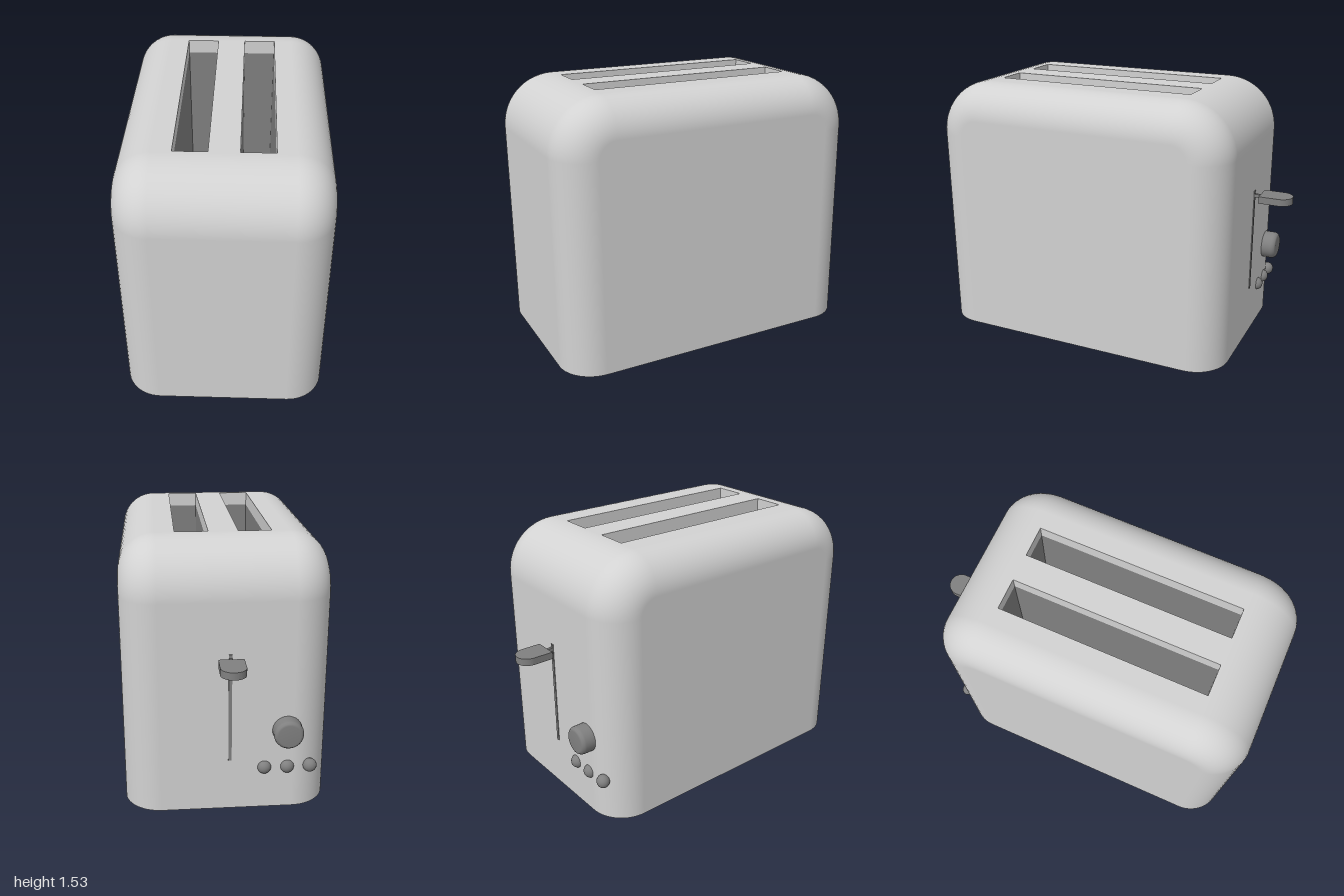
import * as THREE from 'three';

const HALF_W = 0.557, BEVEL = 0.2, ARC = 0.3;
const BACK = -0.78, FRONT = 1, BOTTOM = 0.055, TOP = 1.535;
const SLOT_X = [-0.1675, 0.1675], SLOT_W = 0.177, SLOT_BACK = -0.478, SLOT_FRONT = 0.69;
const LIP = 0.08, LINING = 0.9;

// Side outline, pulled in by d: [z, y, normalZ, normalY], front foot over the top to back foot
function outline(d, steps) {
  const r = ARC - d, pts = [[FRONT - d, BOTTOM, 1, 0]];
  for (const [zc, from] of [[FRONT - ARC, 0], [BACK + ARC, Math.PI / 2]]) {
    for (let k = 0; k <= steps; k++) {
      const b = from + (k / steps) * Math.PI / 2, c = Math.cos(b), s = Math.sin(b);
      pts.push([zc + r * c, TOP - ARC + r * s, c, s]);
    }
  }
  pts.push([BACK + d, BOTTOM, -1, 0]);
  return pts;
}

// Shell: side outlines lofted across the width, rounded towards both sides; top centre left open
function shellGeometries() {
  const steps = 14, pos = [], nor = [], idx = [], foot = [], heel = [];
  const sections = [];
  for (const side of [-1, 1]) {
    for (let k = 0; k <= steps; k++) {
      const t = side < 0 ? 1 - k / steps : k / steps;
      sections.push([side, t * Math.PI / 2]);
    }
  }
  let n = 0;
  for (const [side, a] of sections) {
    const x = side * (HALF_W - BEVEL + BEVEL * Math.sin(a));
    const pts = outline(BEVEL * (1 - Math.cos(a)), steps);
    n = pts.length;
    for (const [z, y, nz, ny] of pts) {
      pos.push(x, y, z);
      nor.push(side * Math.sin(a), ny * Math.cos(a), nz * Math.cos(a));
    }
    foot.push(new THREE.Vector2(x, pts[0][0]));
    heel.unshift(new THREE.Vector2(x, pts[n - 1][0]));
  }
  const last = sections.length - 1;
  for (let i = 0; i < last; i++) {
    for (let j = 0; j < n - 1; j++) {
      if (i === steps && j === steps + 1) continue; // opening for the slotted deck
      const p = i * n + j, q = p + n;
      idx.push(p, q, q + 1, p, q + 1, p + 1);
    }
  }
  // flat side panels
  for (let j = 1; j < n - 1; j++) {
    idx.push(0, j, j + 1, last * n, last * n + j + 1, last * n + j);
  }
  const shell = new THREE.BufferGeometry();
  shell.setAttribute('position', new THREE.Float32BufferAttribute(pos, 3));
  shell.setAttribute('normal', new THREE.Float32BufferAttribute(nor, 3));
  shell.setIndex(idx);
  const base = new THREE.ShapeGeometry(new THREE.Shape([...foot, ...heel]));
  base.rotateX(Math.PI / 2).translate(0, BOTTOM, 0);
  return [shell, base];
}

function rectPoints(x0, x1, z0, z1) {
  return [[x0, -z1], [x1, -z1], [x1, -z0], [x0, -z0]].map(p => new THREE.Vector2(...p));
}

// Horizontal block with both bread slots cut through
function slottedBlock(halfW, z0, z1, bottom, height) {
  const shape = new THREE.Shape(rectPoints(-halfW, halfW, z0, z1));
  for (const x of SLOT_X) {
    shape.holes.push(new THREE.Path(rectPoints(x - SLOT_W / 2, x + SLOT_W / 2, SLOT_BACK, SLOT_FRONT)));
  }
  return new THREE.ExtrudeGeometry(shape, { depth: height, bevelEnabled: false })
    .rotateX(-Math.PI / 2).translate(0, bottom, 0);
}

export function createModel() {
  const model = new THREE.Group();
  model.name = 'toaster';
  const mat = (name, color) => {
    const m = new THREE.MeshStandardMaterial({ color });
    m.name = name;
    return m;
  };
  const steel = mat('lightGrey', 0xd2d2d2);
  const grey = mat('darkGrey', 0x808080);
  const rubber = mat('blackRubber', 0x1c1c1c);
  const add = (name, geometry, material, x = 0, y = 0, z = 0) => {
    const mesh = new THREE.Mesh(geometry, material);
    mesh.name = name;
    mesh.position.set(x, y, z);
    model.add(mesh);
    return mesh;
  };

  // Body
  const [shell, base] = shellGeometries();
  add('bodyShell', shell, steel);
  add('basePlate', base, steel);
  add('slottedDeck', slottedBlock(HALF_W - BEVEL, BACK + ARC, FRONT - ARC, TOP - LIP, LIP), steel);

  // Bread slot lining and floor
  const liningBottom = TOP - LIP - LINING;
  add('slotLining', slottedBlock(0.3, SLOT_BACK - 0.02, SLOT_FRONT + 0.02, liningBottom, LINING), grey);
  add('slotFloor', new THREE.BoxGeometry(0.6, 0.02, 1.2), grey, 0, liningBottom - 0.01, (SLOT_BACK + SLOT_FRONT) / 2);

  // Lever on the back: track, stem and round-ended paddle
  const leverX = -0.013;
  add('leverTrack', new THREE.BoxGeometry(0.018, 0.61, 0.008), grey, leverX, 0.655, BACK);
  add('leverStem', new THREE.BoxGeometry(0.018, 0.018, 0.08), grey, leverX, 0.932, BACK - 0.02);
  const r = 0.067;
  const paddle = new THREE.Shape();
  paddle.moveTo(-r, 0.822);
  paddle.lineTo(r, 0.822);
  paddle.lineTo(r, 1 - r);
  paddle.absarc(0, 1 - r, r, 0, Math.PI, false);
  paddle.closePath();
  const paddleGeometry = new THREE.ExtrudeGeometry(paddle, { depth: 0.04, bevelEnabled: false, curveSegments: 16 });
  add('leverPaddle', paddleGeometry.rotateX(-Math.PI / 2), grey, leverX, 0.91, 0);

  // Browning knob with a softened rim
  const knobProfile = [[0.08, 0], [0.08, 0.055], [0.077, 0.066], [0.07, 0.076], [0.06, 0.081], [0, 0.081]];
  const knob = new THREE.LatheGeometry(knobProfile.map(p => new THREE.Vector2(...p)), 32);
  add('knob', knob.rotateX(-Math.PI / 2), grey, -0.32, 0.52, BACK);

  // Domed buttons
  for (const x of [-0.2, -0.325, -0.45]) {
    const button = add('button', new THREE.SphereGeometry(0.038, 20, 14), grey, x, 0.3, BACK + 0.005);
    button.scale.z = 0.95;
  }

  // Feet
  const footProfile = [[0, 0], [0.05, 0], [0.062, 0.008], [0.07, 0.025], [0.08, 0.045], [0.08, 0.057]];
  const footGeometry = new THREE.LatheGeometry(footProfile.map(p => new THREE.Vector2(...p)), 24);
  for (const x of [-0.335, 0.335]) {
    for (const z of [0.805, -0.59]) add('foot', footGeometry, rubber, x, 0, z);
  }
  return model;
}
